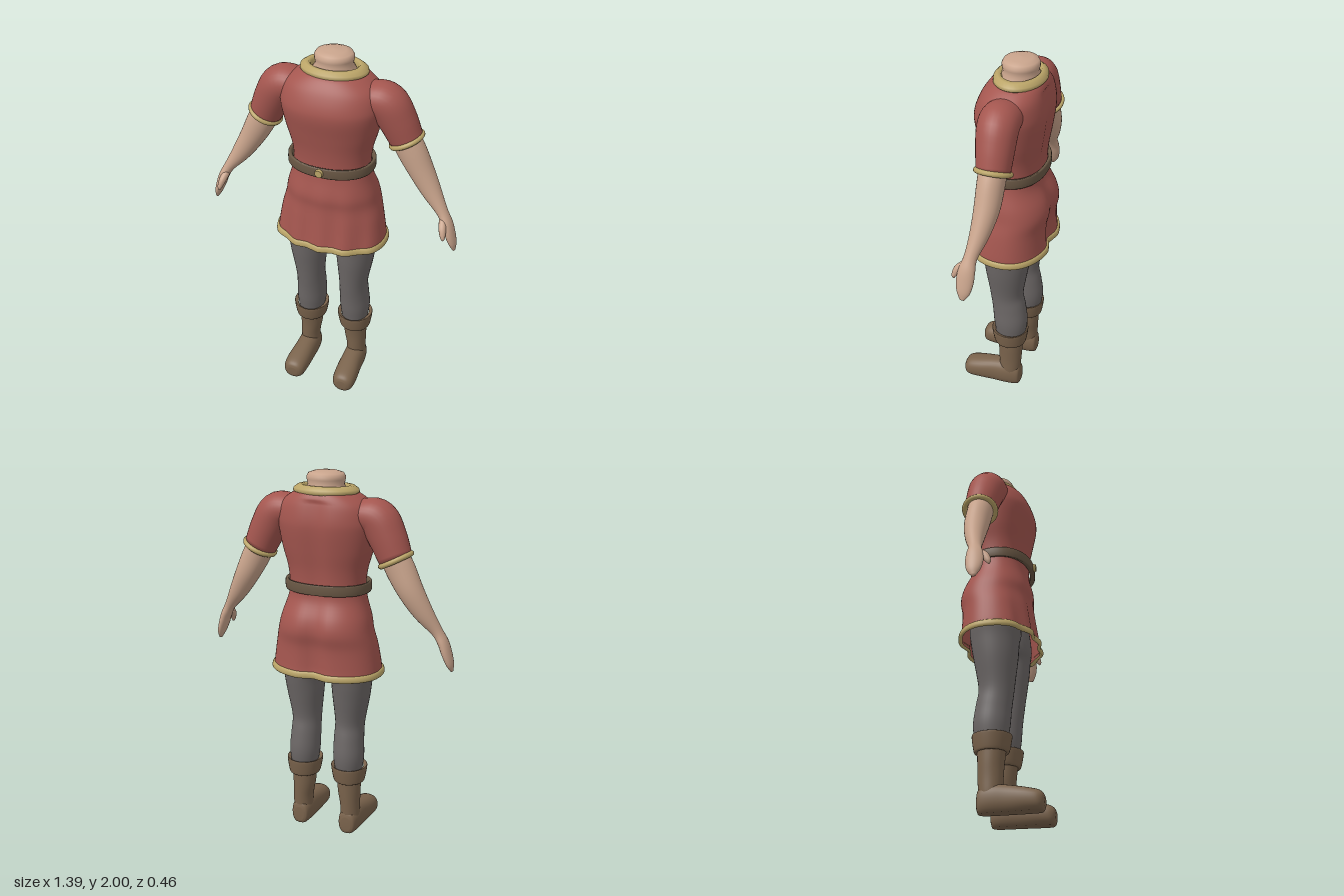
import * as THREE from 'three';

const UP = new THREE.Vector3(0, 1, 0);
const FRONT = new THREE.Vector3(0, 0, 1);

function createMaterials() {
  const make = (name, color, side = THREE.FrontSide) => {
    const m = new THREE.MeshStandardMaterial({ color, side });
    m.name = name;
    return m;
  };
  return {
    red: make('tunic red', 0xa4564f, THREE.DoubleSide),
    gold: make('trim gold', 0xbba568),
    skin: make('skin', 0xc9a48c),
    belt: make('belt leather', 0x695744),
    grey: make('trouser grey', 0x6c6766),
    boot: make('boot leather', 0x7a634c),
  };
}

// Smooth skin through oval sections [x, y, z, halfWidth, halfDepth].
// The rings follow the path unless a fixed axis is given.
function loft(sections, { ref = FRONT, axis = null, steps = 5, sides = 32, power = 2, warp = null, caps = true } = {}) {
  const spline = (pts) => new THREE.CatmullRomCurve3(pts, false, 'catmullrom', 0.5);
  const path = spline(sections.map((s) => new THREE.Vector3(s[0], s[1], s[2])));
  const size = spline(sections.map((s) => new THREE.Vector3(s[3], s[4], 0)));
  const rows = (sections.length - 1) * steps;
  const pos = [], index = [];
  const bend = (v) => Math.sign(v) * Math.pow(Math.abs(v), 2 / power);
  for (let i = 0; i <= rows; i++) {
    const c = path.getPoint(i / rows), r = size.getPoint(i / rows);
    const t = axis ?? path.getTangent(i / rows);
    const u = new THREE.Vector3().crossVectors(ref, t).normalize();
    const v = new THREE.Vector3().crossVectors(t, u).normalize();
    for (let j = 0; j < sides; j++) {
      const a = (j / sides) * Math.PI * 2;
      const p = c.clone().addScaledVector(u, bend(Math.cos(a)) * r.x).addScaledVector(v, bend(Math.sin(a)) * r.y);
      if (warp) warp(p);
      pos.push(p.x, p.y, p.z);
    }
  }
  for (let i = 0; i < rows; i++) {
    for (let j = 0; j < sides; j++) {
      const a = i * sides + j, b = i * sides + (j + 1) % sides;
      index.push(a, b, a + sides, b, b + sides, a + sides);
    }
  }
  if (caps) {
    const n = pos.length / 3, last = rows * sides;
    for (const t of [0, 1]) {
      const p = path.getPoint(t);
      if (warp) warp(p);
      pos.push(p.x, p.y, p.z);
    }
    for (let j = 0; j < sides; j++) {
      const k = (j + 1) % sides;
      index.push(n, k, j, n + 1, last + j, last + k);
    }
  }
  const g = new THREE.BufferGeometry();
  g.setAttribute('position', new THREE.Float32BufferAttribute(pos, 3));
  g.setIndex(index);
  g.computeVertexNormals();
  return g;
}

// Body sections given as [y, halfWidth, frontZ, backZ]
const body = (rows) => rows.map(([y, w, f, b]) => [0, y, (f + b) / 2, w, (f - b) / 2]);

// Spine groove at the back and soft folds in the skirt
function drape(p) {
  const skirt = THREE.MathUtils.clamp((1.35 - p.y) / 0.35, 0, 1);
  if (p.z < 0) p.z *= 1 - (0.07 + 0.06 * skirt) * Math.exp(-((p.x / 0.055) ** 2)) * (p.y < 1.86 ? 1 : 0.3);
  else p.z += 0.008 * skirt * Math.cos(p.x * 45) * Math.min(1, p.z / 0.1);
}

export function createModel() {
  const M = createMaterials();
  const model = new THREE.Group();
  model.name = 'tunicFigure';
  const add = (name, geometry, material, parent = model) => {
    const mesh = new THREE.Mesh(geometry, material);
    mesh.name = name;
    parent.add(mesh);
    return mesh;
  };

  // Tunic with flared, open skirt
  add('tunic', loft(body([
    [0.945, 0.3, 0.184, -0.226], [1.0, 0.294, 0.176, -0.22], [1.1, 0.277, 0.163, -0.218],
    [1.18, 0.257, 0.155, -0.232], [1.25, 0.242, 0.157, -0.218], [1.34, 0.214, 0.137, -0.175],
    [1.41, 0.204, 0.13, -0.168], [1.5, 0.214, 0.137, -0.172], [1.6, 0.242, 0.155, -0.187],
    [1.7, 0.262, 0.174, -0.2], [1.76, 0.265, 0.168, -0.2], [1.83, 0.245, 0.138, -0.187],
    [1.88, 0.185, 0.1, -0.17], [1.905, 0.13, 0.065, -0.15],
  ]), { axis: UP, power: 2.25, sides: 64, warp: drape, caps: false }), M.red);

  add('hemTrim', loft(body([
    [0.945, 0.29, 0.175, -0.216], [0.934, 0.3, 0.184, -0.226], [0.94, 0.311, 0.194, -0.236],
    [0.96, 0.309, 0.192, -0.235], [0.971, 0.3, 0.184, -0.226], [0.96, 0.29, 0.175, -0.216],
  ]), { axis: UP, power: 2.25, sides: 64, steps: 2, warp: drape, caps: false }), M.gold);

  // Belt standing slightly off the waist
  add('belt', loft(body([
    [1.39, 0.205, 0.138, -0.165], [1.382, 0.222, 0.157, -0.18], [1.387, 0.231, 0.165, -0.188],
    [1.43, 0.231, 0.165, -0.188], [1.436, 0.224, 0.158, -0.182], [1.43, 0.212, 0.146, -0.17],
    [1.39, 0.205, 0.138, -0.165],
  ]), { axis: UP, power: 2.2, sides: 64, steps: 2, caps: false }), M.belt);
  const buckle = add('buckle', new THREE.CylinderGeometry(0.02, 0.025, 0.02, 10), M.gold);
  buckle.rotation.x = Math.PI / 2;
  buckle.position.set(0, 1.41, 0.168);

  // Neck stump and collar
  const turned = (name, profile, depth, material) => {
    const g = new THREE.LatheGeometry(profile.map((p) => new THREE.Vector2(...p)), 40);
    const mesh = add(name, g, material);
    mesh.scale.z = depth;
    mesh.position.z = -0.04;
  };
  turned('neck', [[0.13, 1.86], [0.11, 1.9], [0.094, 1.93], [0.1, 1.955], [0.1, 1.97], [0.091, 1.986], [0.06, 1.996], [0, 2]], 0.93, M.skin);
  turned('collar', [[0.12, 1.89], [0.165, 1.886], [0.176, 1.895], [0.173, 1.91], [0.15, 1.926], [0.13, 1.928], [0.12, 1.915], [0.12, 1.89]], 0.74, M.gold);

  // Limbs, mirrored to both sides
  for (const s of [1, -1]) {
    const side = s > 0 ? 'left' : 'right';
    const limb = (name, rows, material, options) =>
      add(side + name, loft(rows.map(([x, ...rest]) => [x * s, ...rest]), options), material);

    limb('Sleeve', [
      [0.11, 1.79, -0.03, 0.06, 0.08], [0.2, 1.788, -0.03, 0.082, 0.098], [0.28, 1.768, -0.03, 0.102, 0.102],
      [0.335, 1.685, -0.036, 0.098, 0.095], [0.385, 1.578, -0.044, 0.087, 0.083],
    ], M.red);
    const cuff = add(side + 'SleeveTrim', new THREE.TorusGeometry(0.083, 0.014, 10, 36), M.gold);
    cuff.position.set(0.386 * s, 1.576, -0.044);
    cuff.quaternion.setFromUnitVectors(FRONT, new THREE.Vector3(0.45 * s, -0.89, 0).normalize());

    limb('Arm', [
      [0.36, 1.625, -0.042, 0.07, 0.07], [0.41, 1.53, -0.042, 0.076, 0.068], [0.47, 1.42, -0.042, 0.066, 0.063],
      [0.535, 1.315, -0.03, 0.051, 0.049], [0.602, 1.222, -0.01, 0.03, 0.034], [0.635, 1.165, -0.002, 0.027, 0.042],
      [0.655, 1.11, 0.002, 0.025, 0.045], [0.674, 1.055, 0.004, 0.019, 0.035], [0.686, 1.015, 0.008, 0.007, 0.012],
    ], M.skin);
    limb('Thumb', [
      [0.615, 1.185, 0.012, 0.02, 0.02], [0.625, 1.152, 0.047, 0.019, 0.021],
      [0.634, 1.118, 0.066, 0.013, 0.014], [0.637, 1.1, 0.07, 0.005, 0.005],
    ], M.skin, { sides: 16 });

    limb('TrouserLeg', [
      [0.12, 1.15, -0.02, 0.12, 0.12], [0.132, 0.98, -0.018, 0.129, 0.137], [0.139, 0.9, -0.017, 0.11, 0.128],
      [0.136, 0.8, -0.013, 0.1, 0.115], [0.13, 0.65, -0.012, 0.08, 0.093], [0.13, 0.55, -0.026, 0.081, 0.094],
      [0.133, 0.45, -0.036, 0.083, 0.095], [0.135, 0.35, -0.035, 0.07, 0.08],
    ], M.grey);

    // Boot: turned-down cuff, shaft and flat-soled foot
    limb('BootCuff', [
      [0.138, 0.315, -0.035, 0.058, 0.065], [0.137, 0.308, -0.035, 0.08, 0.084], [0.136, 0.325, -0.034, 0.089, 0.092],
      [0.135, 0.385, -0.033, 0.099, 0.102], [0.135, 0.4, -0.033, 0.097, 0.1], [0.135, 0.39, -0.034, 0.078, 0.088],
    ], M.boot, { axis: UP, steps: 3, caps: false });
    limb('BootShaft', [
      [0.135, 0.34, -0.033, 0.066, 0.075], [0.138, 0.25, -0.037, 0.063, 0.068], [0.144, 0.17, -0.037, 0.055, 0.064],
      [0.146, 0.1, -0.037, 0.054, 0.06], [0.147, 0.04, -0.037, 0.05, 0.055],
    ], M.boot);
    limb('BootFoot', [
      [0.145, 0.055, -0.102, 0.028, 0.04], [0.145, 0.06, -0.088, 0.048, 0.068], [0.146, 0.066, -0.03, 0.06, 0.08],
      [0.147, 0.062, 0.05, 0.062, 0.076], [0.151, 0.055, 0.14, 0.066, 0.066], [0.153, 0.048, 0.2, 0.062, 0.058],
      [0.153, 0.045, 0.225, 0.048, 0.046], [0.153, 0.045, 0.235, 0.028, 0.026],
    ], M.boot, { ref: UP, axis: FRONT, power: 2.3, warp: (p) => { p.y = Math.max(p.y, 0); } });
  }
  return model;
}
